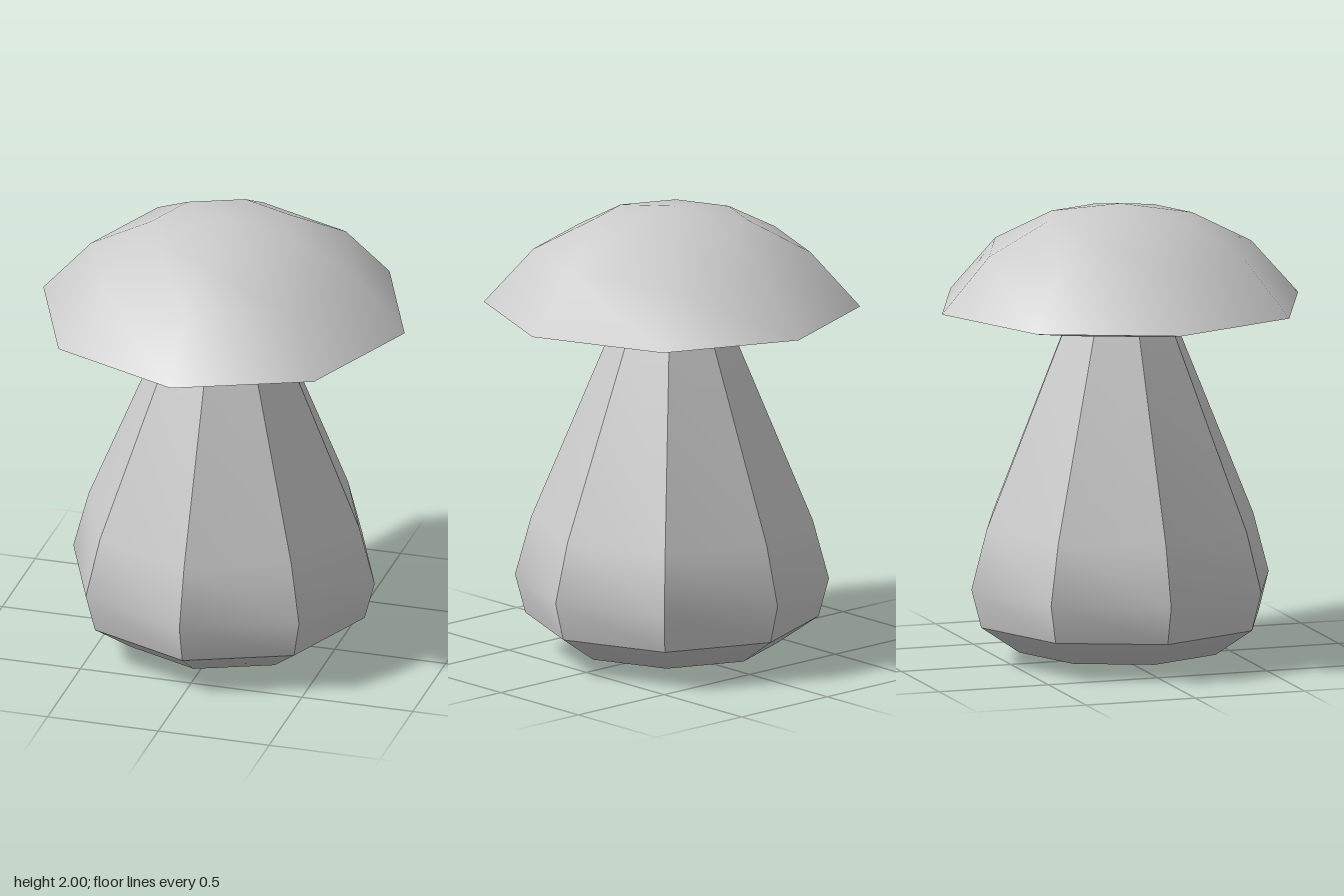
import * as THREE from 'three';
import { toCreasedNormals } from 'three/addons/utils/BufferGeometryUtils.js';

const SIDES = 8;
const CREASE = 0.65; // radians: stem edges stay sharp, cap and base shade smoothly

// Eight-sided solid of revolution, profile of [radius, height] from bottom to top
function turned(name, profile, material) {
  const points = profile.map(([r, y]) => new THREE.Vector2(r, y));
  const geometry = toCreasedNormals(new THREE.LatheGeometry(points, SIDES), CREASE);
  const mesh = new THREE.Mesh(geometry, material);
  mesh.name = name;
  return mesh;
}

export function createModel() {
  const group = new THREE.Group();
  group.name = 'mushroom';
  const grey = new THREE.MeshStandardMaterial({ color: 0xcccccc });

  // Stem: shallow pointed base, swollen foot, taper up into the cap
  group.add(turned('stem', [
    [0, 0], [0.46, 0.05], [0.635, 0.17], [0.68, 0.34], [0.61, 0.6], [0.235, 1.51],
  ], grey));

  // Cap: nearly flat underside, sharp rim, faceted dome
  group.add(turned('cap', [
    [0, 1.495], [0.3, 1.495], [0.5, 1.5], [0.815, 1.56],
    [0.6, 1.8], [0.33, 1.94], [0, 2],
  ], grey));

  return group;
}
